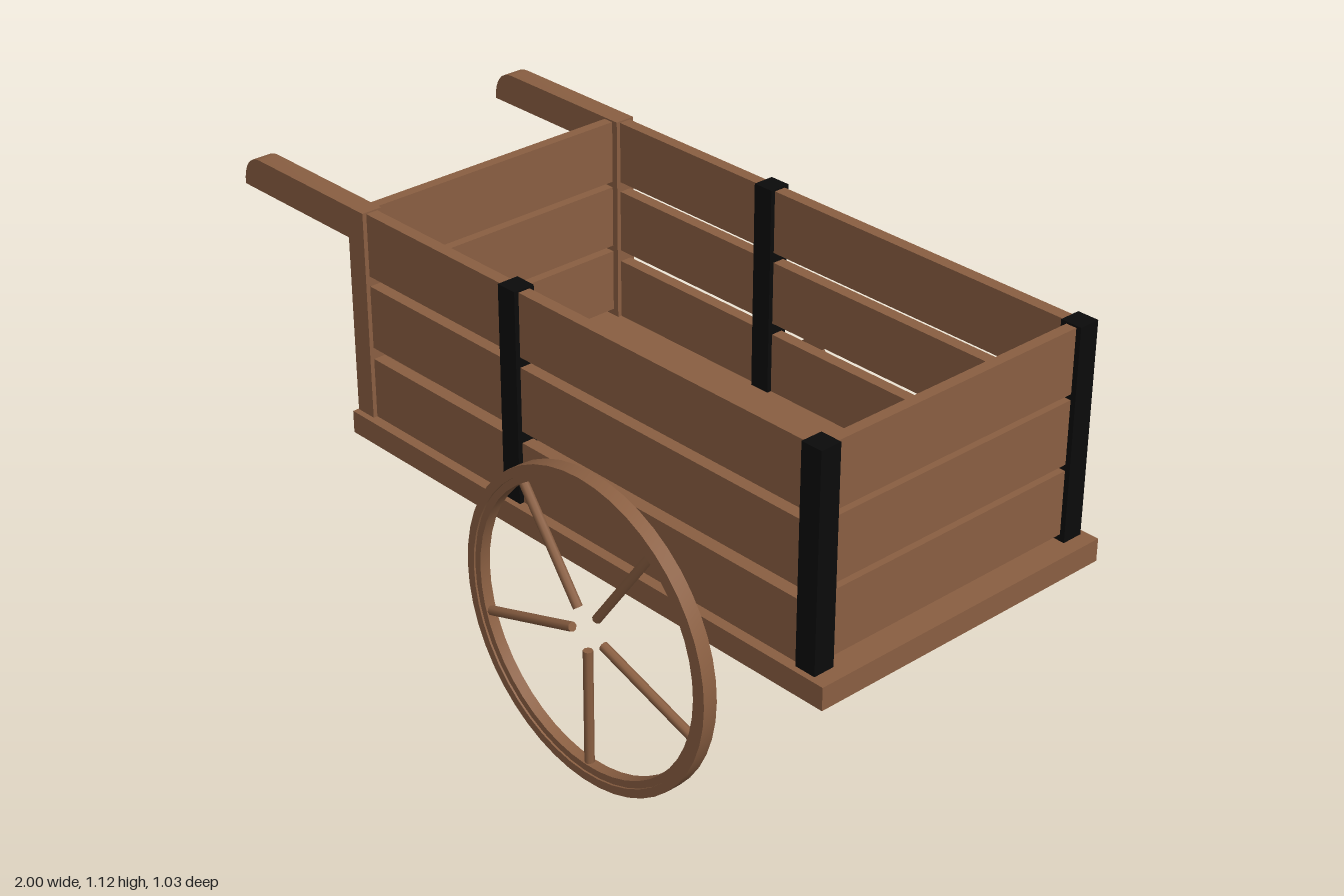
import * as THREE from 'three';
import { toCreasedNormals } from 'three/addons/utils/BufferGeometryUtils.js';

export function createModel() {
  const cart = new THREE.Group();
  cart.name = 'handCart';
  const wood = new THREE.MeshStandardMaterial({ color: 0x8a5f42 });
  wood.name = 'brownWood';
  const iron = new THREE.MeshStandardMaterial({ color: 0x0b0b0b });
  iron.name = 'blackIron';

  function add(name, geometry, material, parent = cart) {
    const mesh = new THREE.Mesh(geometry, material);
    mesh.name = name;
    parent.add(mesh);
    return mesh;
  }
  // Box given by its limits on each axis
  function box(name, material, [x0, x1], [y0, y1], [z0, z1]) {
    const mesh = add(name, new THREE.BoxGeometry(x1 - x0, y1 - y0, z1 - z0), material);
    mesh.position.set((x0 + x1) / 2, (y0 + y1) / 2, (z0 + z1) / 2);
  }

  const midZ = 0.027; // centre line of the bed
  box('floor', wood, [-0.59, 1], [0.525, 0.583], [-0.408, 0.462]);

  // Planks of the two ends
  for (const [y0, y1] of [[0.6, 0.763], [0.779, 0.94], [0.955, 1.116]]) {
    box('tailPlank', wood, [0.92, 0.948], [y0, y1], [-0.36, 0.41]);
    box('handleEndPlank', wood, [-0.575, -0.547], [y0, y1], [-0.36, 0.41]);
  }

  // Handle and its post in one bent piece, with a rounded grip
  const handleShape = new THREE.Shape();
  handleShape.moveTo(-0.588, 0.583);
  handleShape.lineTo(-0.53, 0.583);
  handleShape.lineTo(-0.53, 1.12);
  handleShape.lineTo(-0.935, 1.12);
  handleShape.bezierCurveTo(-0.975, 1.12, -1, 1.09, -1, 1.04);
  handleShape.lineTo(-0.588, 1.04);
  handleShape.closePath();

  for (const side of [1, -1]) {
    const z = midZ + side * 0.392;
    // Side planks
    for (const [y0, y1] of [[0.583, 0.738], [0.768, 0.93], [0.956, 1.116]]) {
      box('sidePlank', wood, [-0.54, 0.935], [y0, y1], [z - 0.016, z + 0.016]);
    }
    // Iron posts
    for (const x of [-0.012, 0.933]) {
      box('ironPost', iron, [x - 0.028, x + 0.028], [0.583, 1.121], [z - 0.028, z + 0.028]);
    }
    const handle = add('handle', toCreasedNormals(new THREE.ExtrudeGeometry(handleShape,
      { depth: 0.054, bevelEnabled: false, curveSegments: 8 }), 0.5), wood);
    handle.position.z = z - 0.027;
  }

  // Wheel rim: square section with a lower inner step on both faces
  const rimProfile = [
    [0.36, -0.014], [0.378, -0.014], [0.378, -0.019], [0.4, -0.019], [0.4, 0.019],
    [0.378, 0.019], [0.378, 0.014], [0.36, 0.014], [0.36, -0.014],
  ].map(([r, y]) => new THREE.Vector2(r, y));
  const rim = toCreasedNormals(new THREE.LatheGeometry(rimProfile, 48).rotateX(Math.PI / 2), 0.6);
  const spoke = new THREE.CylinderGeometry(0.012, 0.012, 0.315, 8).translate(0, 0.2125, 0);

  for (const [name, z] of [['frontWheel', 0.494], ['backWheel', -0.44]]) {
    const wheel = new THREE.Group();
    wheel.name = name;
    wheel.position.set(0.3, 0.4, z);
    add('rim', rim, wood, wheel);
    for (let i = 0; i < 5; i++) {
      add('spoke', spoke, wood, wheel).rotation.z = Math.PI + i * Math.PI * 2 / 5;
    }
    cart.add(wheel);
  }

  // Curved axle arm under the bed, reaching the back wheel only
  const armPath = new THREE.CubicBezierCurve3(
    new THREE.Vector3(0.3, 0.53, -0.25), new THREE.Vector3(0.3, 0.45, -0.255),
    new THREE.Vector3(0.3, 0.404, -0.3), new THREE.Vector3(0.3, 0.404, -0.38));
  add('axleArm', new THREE.TubeGeometry(armPath, 14, 0.021, 12), iron);

  // Hub of the back wheel
  const hubProfile = [
    [0, 0.36], [0.021, 0.36], [0.037, 0.395], [0.044, 0.415], [0.047, 0.44],
    [0.045, 0.47], [0.042, 0.487], [0.03, 0.508], [0.02, 0.514], [0, 0.515],
  ].map(([r, y]) => new THREE.Vector2(r, y));
  const hub = add('hub', new THREE.LatheGeometry(hubProfile, 12).rotateX(-Math.PI / 2), iron);
  hub.position.set(0.3, 0.402, 0);

  return cart;
}
